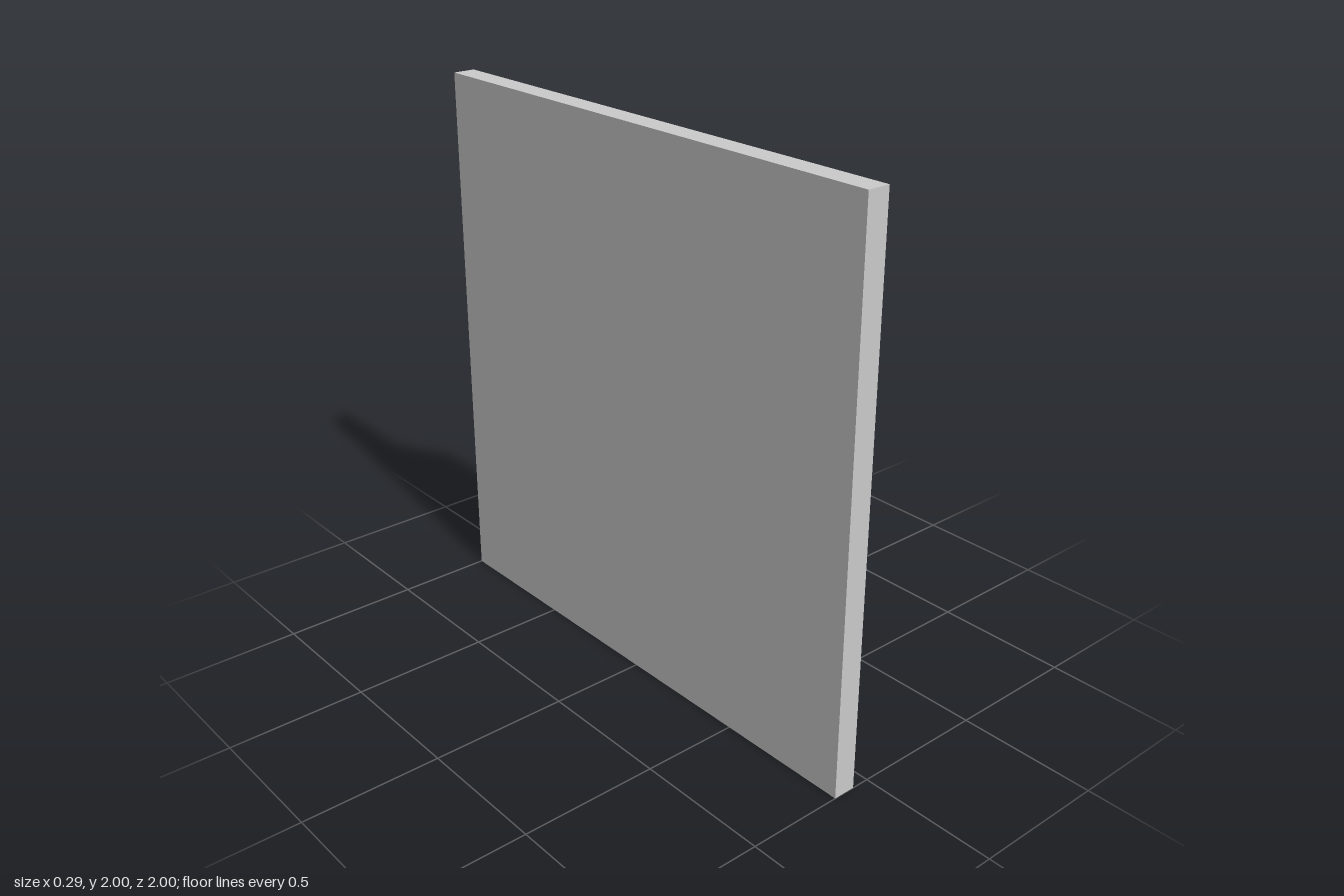
import * as THREE from 'three';

export function createModel() {
  const group = new THREE.Group();
  const material = new THREE.MeshStandardMaterial({ color: 0xcccccc });

  // Square upright back panel
  const panel = new THREE.Mesh(new THREE.BoxGeometry(0.083, 2, 2), material);
  panel.name = 'backPanel';
  panel.position.set(-0.1065, 1, 0);
  group.add(panel);

  // Slat section: slopes down at 60 degrees, its upper end sunk into the panel
  const section = new THREE.Shape([
    new THREE.Vector2(0.103, 0),
    new THREE.Vector2(0.145, 0.024),
    new THREE.Vector2(-0.08, 0.414),
    new THREE.Vector2(-0.08, 0.317),
  ]);
  const slatGeometry = new THREE.ExtrudeGeometry(section, { depth: 1.6, bevelEnabled: false });
  slatGeometry.translate(0, 0, -0.8);

  // Three louvre slats, by height of their lower edge
  [0.187, 0.757, 1.342].forEach((y, i) => {
    const slat = new THREE.Mesh(slatGeometry, material);
    slat.name = `slat${i + 1}`;
    slat.position.y = y;
    group.add(slat);
  });

  return group;
}
